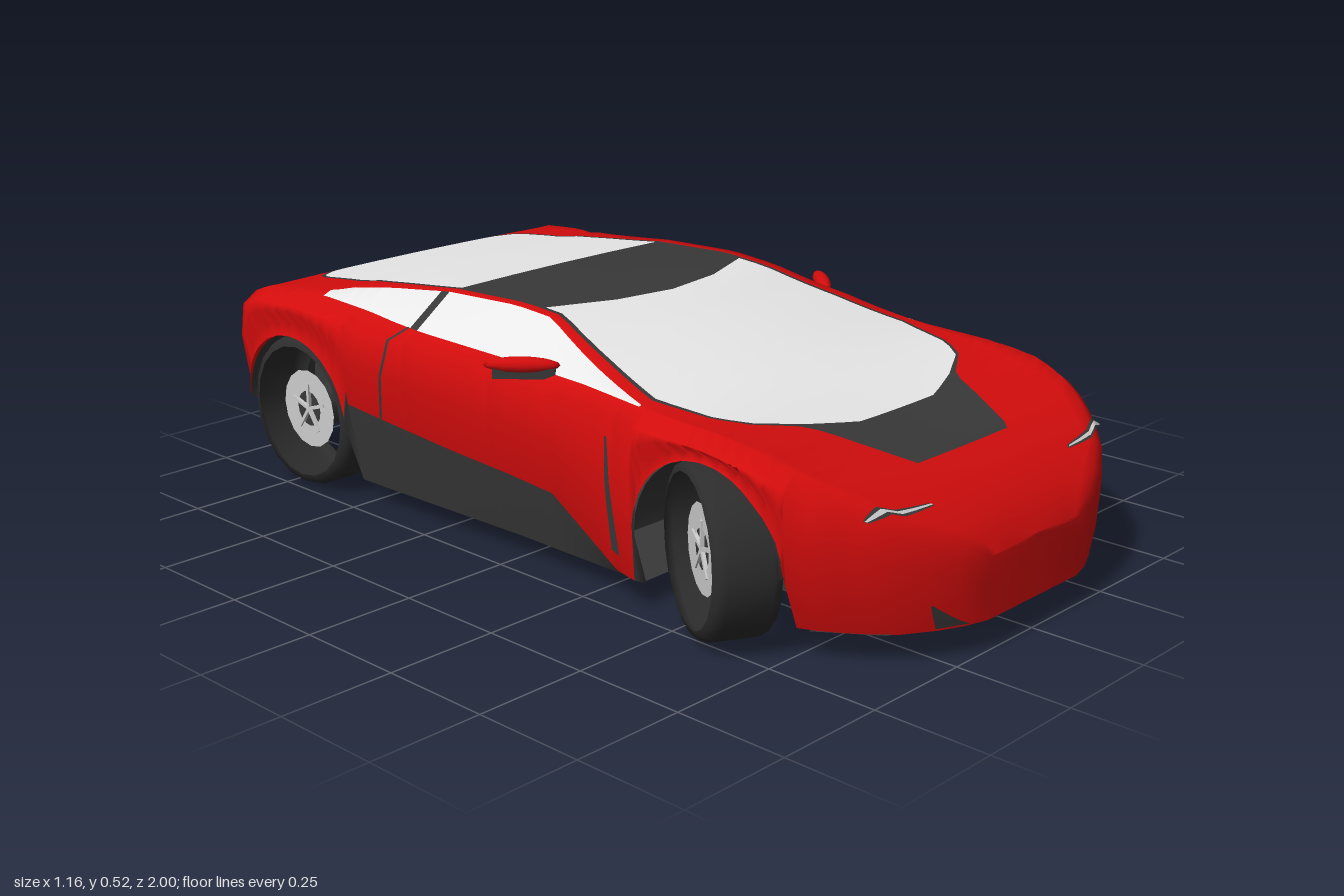
import * as THREE from 'three';

const mat = (name, color, side = THREE.DoubleSide) => {
  const m = new THREE.MeshStandardMaterial({ color, side });
  m.name = name;
  return m;
};
const lerp = (a, b, t) => a + (b - a) * t;

// Curve along the car: pairs of z (nose to tail) and value
const curve = (...p) => z => {
  if (z >= p[0]) return p[1];
  for (let i = 2; i < p.length; i += 2)
    if (z >= p[i]) return lerp(p[i + 1], p[i - 1], (z - p[i]) / (p[i - 2] - p[i]));
  return p[p.length - 1];
};
const width = curve(1, .17, .985, .23, .96, .29, .92, .36, .86, .42, .78, .475, .7, .5, .5, .5, .3, .495, 0, .49,
  -.4, .5, -.8, .505, -.87, .5, -.94, .48, -.975, .39, -1, .2);
const shoulder = curve(1, .19, .985, .225, .96, .255, .92, .288, .86, .325, .78, .362, .68, .392, .56, .405, .4, .41,
  .2, .425, 0, .43, -.4, .44, -.7, .455, -.85, .445, -.92, .42, -.97, .34, -1, .24);
const crown = curve(1, .2, .97, .25, .92, .29, .86, .322, .8, .343, .66, .375, .5, .41, .3, .455, .03, .515, -.1, .525,
  -.32, .516, -.6, .487, -.86, .452, -.92, .428, -.97, .35, -1, .25);
const railX = curve(1, .13, .92, .3, .78, .4, .56, .43, .36, .44, .2, .405, 0, .345, -.32, .35, -.5, .365, -.6, .39,
  -.68, .42, -.85, .42, -.94, .38, -.975, .28, -1, .15);
const railLift = curve(.5, .2, .36, .25, .2, .62, 0, .95, -.32, .95, -.5, .9, -.6, .8, -.68, .45, -1, .5);
const beltInset = curve(-.3, .9, -.5, .86, -.65, .86, -.75, .9);
const trimX = curve(1, .11, .9, .15, .82, .15, .8, .165, .7, .21, .62, .245, .56, .34, .5, .383, .36, .41, .2, .372,
  0, .32, -.32, .32, -.82, .325, -.85, .28, -.87, .2, -1, .12);
const glassX = curve(1, .06, .67, .08, .655, .12, .62, .22, .56, .33, .5, .375, .36, .4, .2, .362, 0, .31, -.32, .31,
  -.82, .315, -.85, .26, -.87, .17, -1, .07);
const sillTop = curve(.385, .066, .33, .075, .14, .19, -.18, .21, -.53, .24);

const ARCH_R = .188, ARCH_Y = .175, AXLES = [.57, -.71];
const archAt = z => AXLES.find(c => Math.abs(z - c) < ARCH_R);

// Left half cross-section from sill to centre line
function profile(z) {
  const W = width(z), S = shoulder(z), T = crown(z), c = archAt(z);
  const y0 = c !== undefined ? ARCH_Y + Math.sqrt(ARCH_R ** 2 - (z - c) ** 2) : z < -.8 ? .15 : z > .6 ? .065 : .05;
  const sill = c === undefined && z < .386 && z > -.53;
  const y1 = sill ? sillTop(z) : lerp(y0, S, .3);
  const x5 = railX(z), y5 = lerp(S, T, railLift(z)), g = glassX(z);
  const top = x => {
    const bow = Math.max(0, 1 - Math.abs(z + .05) / .2) * .08 * Math.max(0, 1 - (x / g) ** 2);
    const t = crown(z + bow);
    return [x, t - (t - y5) * (x / x5) ** 2, z + bow];
  };
  return [
    [W * (c !== undefined ? .99 : .9), y0, z], [W * .97, y1, z], [W, lerp(y1, S, .5), z],
    [W * .98, S - .02, z], [W * beltInset(z), S + .005, z], [x5, y5, z],
    top(trimX(z)), top(g), top(g / 2), top(0)
  ];
}
const surf = (z, u) => {
  const p = profile(z), i = Math.min(8, Math.floor(u));
  return p[i].map((v, k) => lerp(v, p[i + 1][k], u - i));
};

// Grid of points; pick(row, column) names the part each cell belongs to
function gridParts(rows, pick) {
  const n = rows[0].length, parts = {}, all = [];
  const geo = new THREE.BufferGeometry();
  geo.setAttribute('position', new THREE.Float32BufferAttribute(rows.flat(2), 3));
  for (let i = 0; i + 1 < rows.length; i++) for (let j = 0; j + 1 < n; j++) {
    const a = i * n + j, b = a + 1, c = a + n, d = c + 1, cell = [a, c, b, b, c, d];
    all.push(...cell);
    (parts[pick(i, j)] ??= []).push(...cell);
  }
  geo.setIndex(all);
  geo.computeVertexNormals();
  for (const k in parts) {
    geo.setIndex(parts[k]);
    parts[k] = geo.toNonIndexed();
  }
  return parts;
}

export function createModel() {
  const car = new THREE.Group();
  car.name = 'sportsCar';
  const red = mat('red paint', 0xd20c0c), dark = mat('dark trim', 0x383838), glass = mat('pale glass', 0xfafafa);
  const tyreMat = mat('tyre rubber', 0x2d2d2d), metal = mat('rim metal', 0xcccccc);
  const add = (name, geo, m, parent = car) => {
    const mesh = new THREE.Mesh(geo, m);
    mesh.name = name;
    parent.add(mesh);
    return mesh;
  };

  // Body shell, glass, roof and sills from one loft
  const zs = [1, .985, .82, .67, .655, .386, .36, .33, .14, -.05, -.315, -.34, -.525, -.66, -.85, -.87, -.975, -1];
  for (let i = 1; i < 50; i++) zs.push(1 - i * .04);
  for (const c of AXLES) {
    for (const s of [-1, 1]) zs.push(c + s * (ARCH_R + .002));
    for (let i = 0; i <= 14; i++) zs.push(c + (ARCH_R - .0005) * Math.cos(i * Math.PI / 14));
  }
  const stations = zs.sort((a, b) => b - a).filter((z, i) => !i || zs[i - 1] - z > .0008);
  const rows = stations.map(z => {
    const half = profile(z);
    return [...half, ...half.slice(0, -1).reverse().map(([x, y, w]) => [-x, y, w])];
  });
  const cap = r => r.map(([, y, z]) => [0, y, z]);
  rows.unshift(cap(rows[0]));
  rows.push(cap(rows[rows.length - 1]));
  const shell = gridParts(rows, (i, j) => {
    const k = j < 9 ? j : 17 - j;
    const z = ((stations[i - 1] ?? 1) + (stations[i] ?? -1)) / 2;
    if (k === 0 && z < .385 && z > -.525) return 'sideSills';
    if (k === 4 && z < .36 && z > -.66) return z < -.315 && z > -.34 ? 'doorPillars' : 'sideWindows';
    if (k === 6 && z < .82 && z > -.87) return 'glassTrim';
    if (k >= 7 && z < .82 && z > -.87)
      return z > .66 ? 'hoodPanel' : z > -.05 ? 'windshield' : z > -.32 ? 'roofPanel' : 'rearWindow';
    return 'bodyShell';
  });
  const paint = { bodyShell: red, sideWindows: glass, windshield: glass, rearWindow: glass };
  for (const name in shell) add(name, shell[name], paint[name] ?? dark);

  // Floor pan: z, half width, height
  const floor = [[.98, .2, .065], [.9, .34, .062], [.78, .42, .06], [.765, .3, .06], [.375, .3, .055], [.37, .44, .05],
    [-.515, .44, .05], [-.525, .3, .055], [-.6, .3, .06], [-.64, .3, .15], [-.89, .3, .15], [-.9, .44, .15], [-.97, .2, .15]];
  add('floorPan', gridParts(floor.map(([z, w, y]) => [[-w, y, z], [w, y, z]]), () => 'f').f, dark);

  // Rear diffuser and the dark plate above it
  const plan = new THREE.Shape([[-.45, .895], [.45, .895], [.41, .935], [.24, .968], [-.24, .968], [-.41, .935]]
    .map(([x, y]) => new THREE.Vector2(x, y)));
  const diffuser = add('rearDiffuser', new THREE.ExtrudeGeometry(plan, { depth: .07, bevelEnabled: false }), dark);
  diffuser.rotation.x = -Math.PI / 2;
  diffuser.position.y = .08;
  add('rearPlate', new THREE.BoxGeometry(.24, .03, .006), dark).position.set(0, .168, -.999);

  // Thin plate lying on the body between two edges of (z, column)
  const plate = (name, m, n, edge, lift, parent) => {
    const pts = [];
    for (let i = 0; i <= n; i++) {
      const [z1, u1, z2, u2] = edge(i / n);
      pts.push([surf(z1, u1), surf(z2, u2)].map(p => p.map(v => v + lift)));
    }
    add(name, gridParts(pts, () => 'p').p, m, parent);
  };

  for (const s of [1, -1]) {
    const side = new THREE.Group();
    side.name = s > 0 ? 'leftDetails' : 'rightDetails';
    side.scale.x = s;
    car.add(side);

    // Headlights, nose scoops, fender vents and door seams
    const slit = w => t => {
      const z = .88 + .03 * t, h = w * Math.sin(Math.PI * (.1 + .8 * t));
      return [z - h, 3.1 + 2.4 * t, z + h, 3.1 + 2.4 * t];
    };
    plate('headlightSurround', dark, 8, slit(.012), .004, side);
    plate('headlight', metal, 8, slit(.005), .0055, side);
    plate('noseScoop', dark, 4, t => [.958, .05 + .9 * t, lerp(.988, .961, t), .05 + .9 * t], .003, side);
    plate('fenderVent', dark, 5, t => [.34 - .03 * t, 1.2 + 1.5 * t, .318 - .015 * t, 1.2 + 1.5 * t], .003, side);
    plate('doorSeam', dark, 6, t => [-.4 + .06 * t, 1 + 3 * t, -.408 + .06 * t, 1 + 3 * t], .002, side);

    // Exhaust tip
    const tip = add('exhaustTip', new THREE.CylinderGeometry(.028, .028, .04, 3), metal, side);
    tip.rotation.x = Math.PI / 2;
    tip.position.set(.34, .125, -.945);

    // Door mirror
    const mirror = new THREE.Group();
    mirror.name = 'doorMirror';
    mirror.position.set(.482, .45, .06);
    mirror.rotation.y = .85;
    side.add(mirror);
    add('mirrorCap', new THREE.SphereGeometry(1, 12, 8), red, mirror).scale.set(.08, .017, .018);
    add('mirrorBase', new THREE.BoxGeometry(.13, .022, .02), dark, mirror).position.set(-.005, -.017, 0);

    AXLES.forEach((c, i) => {
      const end = i ? 'rear' : 'front';
      // Wheel arch lining and inner wall
      const liner = add(end + 'ArchLiner', new THREE.CylinderGeometry(ARCH_R, ARCH_R, .19, 16, 1, true, 0, Math.PI), dark, side);
      liner.rotation.z = Math.PI / 2;
      liner.position.set(.39, ARCH_Y, c);
      const wall = new THREE.Shape();
      wall.absarc(0, ARCH_Y, ARCH_R, 0, Math.PI);
      const foot = i ? [[-ARCH_R, .06], [-.11, .06], [-.07, .15], [ARCH_R, .15]] : [[-ARCH_R, .06], [ARCH_R, .06]];
      for (const [x, y] of foot) wall.lineTo(x, y);
      const inner = add(end + 'ArchWall', new THREE.ShapeGeometry(wall), dark, side);
      inner.rotation.y = Math.PI / 2;
      inner.position.set(.298, 0, c);

      // Wheel, local +y is the outer face
      const wheel = new THREE.Group();
      wheel.name = end + (s > 0 ? 'LeftWheel' : 'RightWheel');
      wheel.position.set(s * (i ? .415 : .44), .18, i ? c : .575);
      wheel.rotation.set(0, i ? 0 : -.52, -s * Math.PI / 2, 'YXZ');
      car.add(wheel);
      const tread = [[.155, -.07], [.172, -.064], [.18, -.045], [.18, .045], [.172, .064], [.155, .07]];
      add('tyre', new THREE.LatheGeometry(tread.map(p => new THREE.Vector2(...p)), 20), tyreMat, wheel);
      const rim = add('rim', new THREE.RingGeometry(.042, .093, 16), metal, wheel);
      rim.rotation.x = -Math.PI / 2;
      rim.position.y = .04;
      add('hub', new THREE.CylinderGeometry(.05, .05, .1, 12), dark, wheel).position.y = -.016;
      for (let k = 0; k < 5; k++) {
        const spoke = new THREE.Group();
        spoke.name = 'spoke';
        spoke.rotation.y = k * Math.PI * .4;
        wheel.add(spoke);
        add('spokeBar', new THREE.BoxGeometry(.06, .008, .008), metal, spoke).position.set(.03, .04, 0);
      }
    });
  }
  return car;
}
